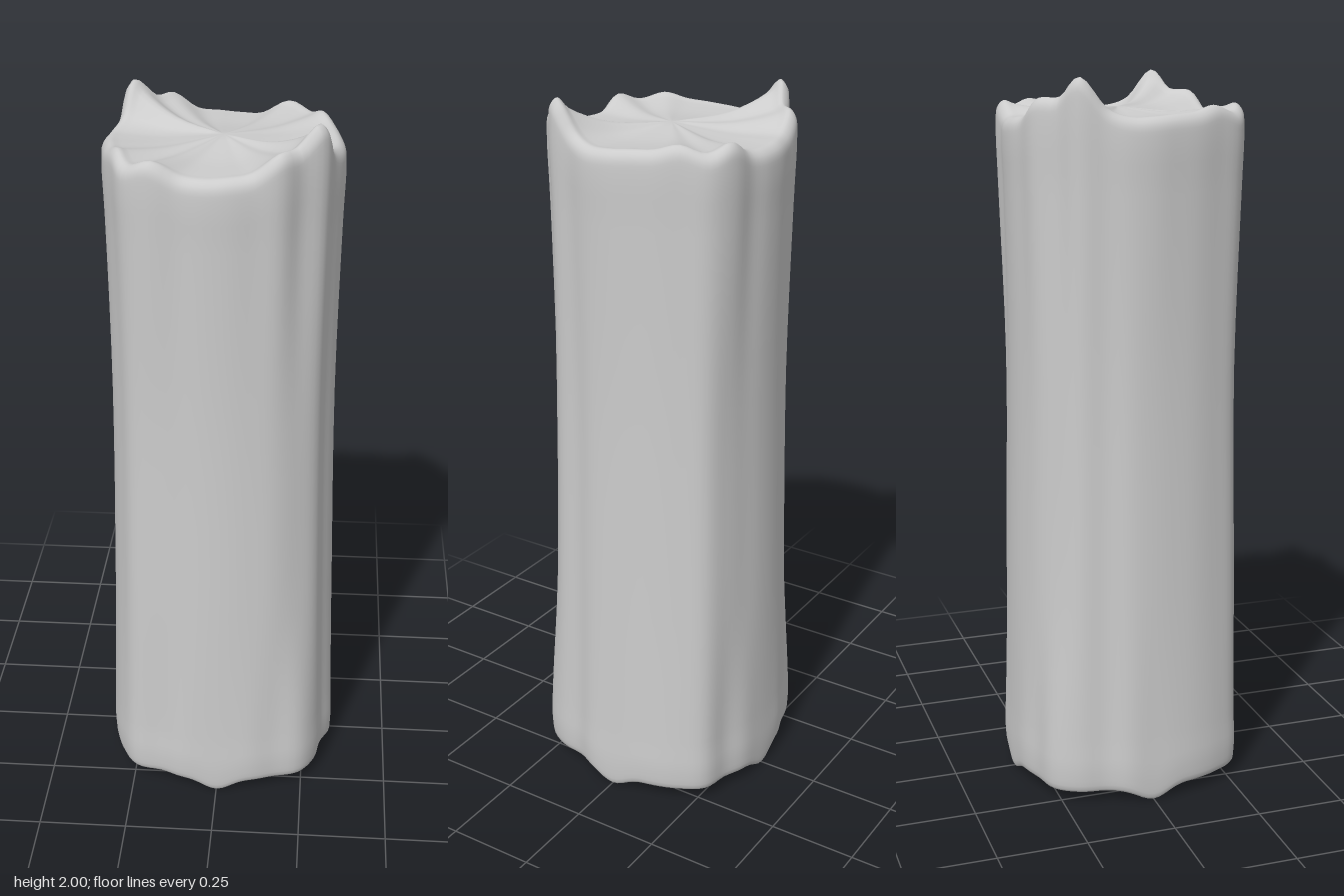
import * as THREE from 'three';

// Values every 12 degrees around half the trunk; the other half repeats them.
const TOP_R = [.32, .32, .318, .335, .318, .33, .318, .318, .318, .318, .345, .355, .335, .325, .318];
const BASE_R = [.334, .34, .335, .36, .37, .345, .338, .33, .33, .338, .34, .37, .36, .348, .338];
const TOP_Y = [1.9, 1.9, 1.925, 2, 1.95, 1.945, 1.9, 1.89, 1.885, 1.89, 1.925, 1.905, 1.925, 1.91, 1.905];

// Smooth periodic lookup in one of the tables
function around(table, angle) {
  const n = table.length;
  const f = (angle / Math.PI) * n;
  const i = Math.floor(f), t = f - i;
  const [a, b, c, d] = [-1, 0, 1, 2].map((k) => table[(i + k + n) % n]);
  return b + 0.5 * t * (c - a + t * (2 * a - 5 * b + 4 * c - d + t * (3 * (b - c) + d - a)));
}

// Outline from the centre of the base, up the side, over the rim to the centre of the top
function profile(angle) {
  const top = around(TOP_R, angle), base = around(BASE_R, angle), rim = around(TOP_Y, angle);
  const foot = 0.036 - 0.034 * Math.max(0, Math.cos(4 * angle)) ** 4;
  const points = [
    [0, 0.05],
    [0.16, 0.045],
    [0.88 * base, foot + 0.01],
    [0.975 * base, foot],
    [base, foot + 0.05],
    [0.99 * base, 0.2],
    [0.985 * (0.5 * base + 0.5 * top), 0.6],
    [0.955 * (0.4 * base + 0.6 * top), 1.2],
    [0.99 * top, 1.7],
    [top, rim - 0.06],
    [0.985 * top, rim - 0.018],
    [0.93 * top, rim],
    [0.84 * top, 1.893 + (rim - 1.893) * 0.72],
    [0.5 * top, 1.893 + (rim - 1.893) * 0.3],
    [0, 1.912],
  ];
  return new THREE.CatmullRomCurve3(points.map(([r, y]) => new THREE.Vector3(r, y, 0)), false, 'centripetal');
}

// Fluted trunk skinned from the outlines
function trunkGeometry(segments = 120, rows = 56) {
  const positions = [0, 0.05, 0], index = [];
  for (let s = 0; s < segments; s++) {
    const angle = (s / segments) * Math.PI * 2;
    const curve = profile(angle);
    for (let r = 1; r < rows; r++) {
      const p = curve.getPoint(r / rows);
      positions.push(p.x * Math.cos(angle), Math.max(0, p.y), p.x * Math.sin(angle));
    }
  }
  positions.push(0, 1.912, 0);
  const last = positions.length / 3 - 1;
  const at = (s, r) => 1 + (s % segments) * (rows - 1) + r;
  for (let s = 0; s < segments; s++) {
    index.push(0, at(s, 0), at(s + 1, 0));
    for (let r = 0; r < rows - 2; r++) {
      const a = at(s, r), b = at(s + 1, r), c = at(s + 1, r + 1), d = at(s, r + 1);
      index.push(a, d, b, b, d, c);
    }
    index.push(last, at(s + 1, rows - 2), at(s, rows - 2));
  }
  const geometry = new THREE.BufferGeometry();
  geometry.setAttribute('position', new THREE.Float32BufferAttribute(positions, 3));
  geometry.setIndex(index);
  geometry.computeVertexNormals();
  return geometry;
}

export function createModel() {
  const group = new THREE.Group();
  group.name = 'stump';
  const trunk = new THREE.Mesh(trunkGeometry(), new THREE.MeshStandardMaterial({ color: 0xcccccc }));
  trunk.name = 'trunk';
  group.add(trunk);
  return group;
}
